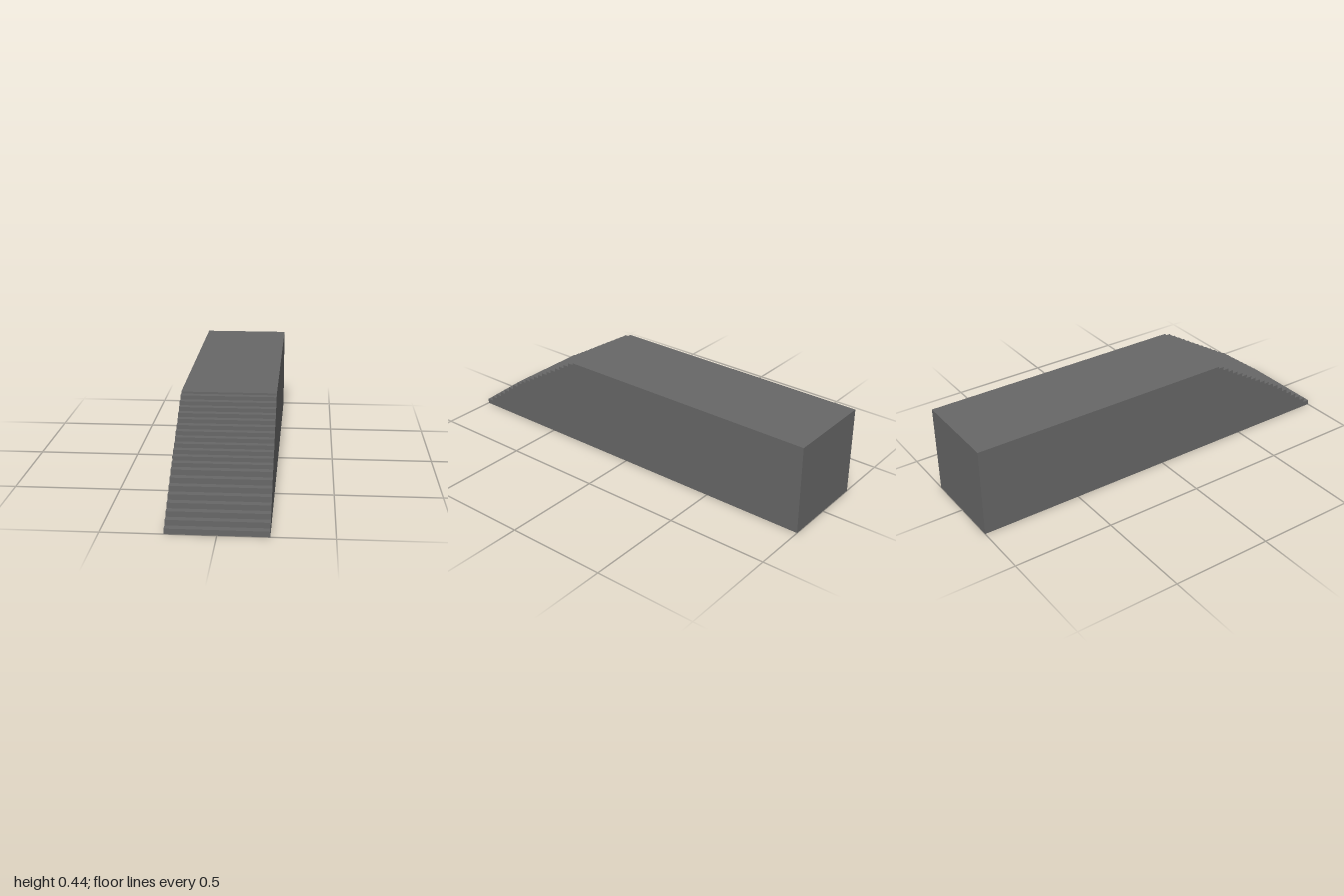
import * as THREE from 'three';

const WIDTH = 0.449, TOP = 0.4385;

// Steps from the front foot upward: [count, rise, tread]
const FLIGHTS = [
  [8, 0.0251, 0.0345],
  [12, 0.019, 0.0317],
];

export function createModel() {
  const group = new THREE.Group();
  group.name = 'steppedRamp';

  // Side profile: horizontal = z, vertical = y
  const profile = new THREE.Shape();
  let z = 1, y = 0;
  profile.moveTo(-1, 0);
  profile.lineTo(z, y);
  for (const [count, rise, tread] of FLIGHTS) {
    for (let i = 0; i < count; i++) {
      y += rise;
      profile.lineTo(z, y);
      z -= tread;
      profile.lineTo(z, y);
    }
  }
  // Last low riser onto the flat landing, then the back wall
  profile.lineTo(z, TOP);
  profile.lineTo(-1, TOP);
  profile.closePath();

  // Extrude across the width, then turn the profile so it runs along z
  const geometry = new THREE.ExtrudeGeometry(profile, { depth: WIDTH, bevelEnabled: false });
  geometry.translate(0, 0, -WIDTH / 2);
  geometry.rotateY(-Math.PI / 2);

  // Dark grey body
  const body = new THREE.Mesh(
    geometry,
    new THREE.MeshStandardMaterial({ color: 0x676767, flatShading: true })
  );
  body.name = 'stairsAndLanding';
  group.add(body);
  return group;
}
